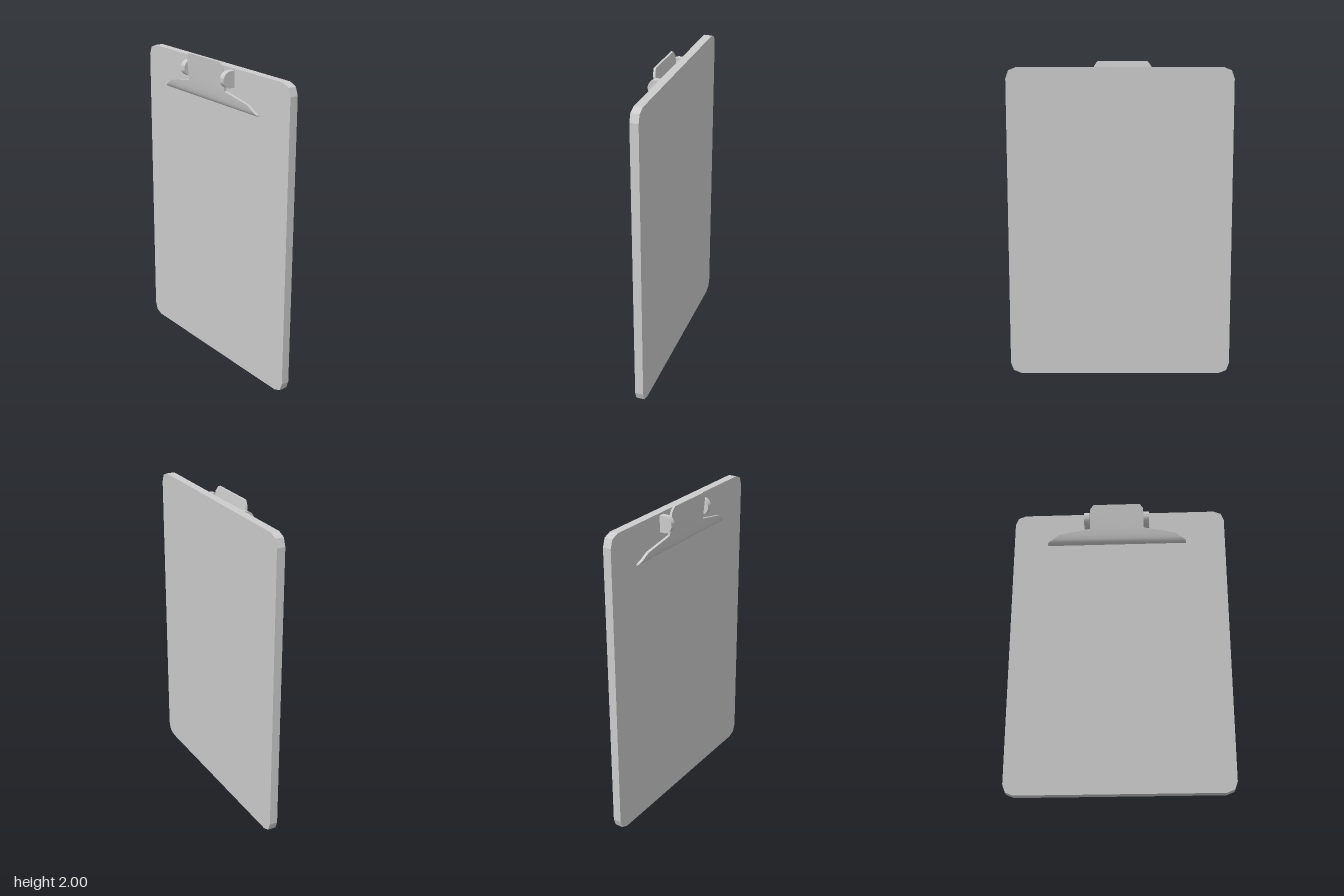
import * as THREE from 'three';
import { toCreasedNormals } from 'three/addons/utils/BufferGeometryUtils.js';

const material = new THREE.MeshStandardMaterial({ color: 0xcccccc });

// Rectangular board with two-facet corners
function boardGeometry(w, y0, y1, depth) {
  const outline = [];
  const h = (y1 - y0) / 2, cy = (y0 + y1) / 2;
  const corner = [[0, 0.07], [0.018, 0.02], [0.067, 0]]; // insets from the side and the end
  for (const [sx, sy] of [[1, 1], [-1, 1], [-1, -1], [1, -1]]) {
    const run = sx * sy > 0 ? corner : [...corner].reverse();
    for (const [dx, dy] of run) outline.push(new THREE.Vector2(sx * (w - dx), cy + sy * (h - dy)));
  }
  return new THREE.ExtrudeGeometry(new THREE.Shape(outline), { depth, bevelEnabled: false });
}

// Bent plate lofted through rows of [y, half width, front z, back z], from top to bottom
function plateGeometry(rows) {
  const pos = [];
  const quad = (a, b, c, d) => pos.push(...a, ...b, ...c, ...a, ...c, ...d);
  const ring = ([y, w, f, b]) => [[-w, y, f], [w, y, f], [w, y, b], [-w, y, b]];
  for (let i = 0; i < rows.length - 1; i++) {
    const t = ring(rows[i]), u = ring(rows[i + 1]);
    for (let k = 0; k < 4; k++) {
      const n = (k + 1) % 4;
      quad(t[k], u[k], u[n], t[n]);
    }
  }
  const top = ring(rows[0]), end = ring(rows[rows.length - 1]);
  quad(top[0], top[1], top[2], top[3]);
  quad(end[3], end[2], end[1], end[0]);
  const g = new THREE.BufferGeometry();
  g.setAttribute('position', new THREE.Float32BufferAttribute(pos, 3));
  return toCreasedNormals(g, 0.7);
}

// D-shaped hinge cheek: round in front, flat against the board
function cheekGeometry(radius, back, width) {
  const s = new THREE.Shape();
  s.moveTo(back, -radius);
  s.lineTo(0, -radius);
  s.absarc(0, 0, radius, -Math.PI / 2, Math.PI / 2, false);
  s.lineTo(back, radius);
  s.closePath();
  const g = new THREE.ExtrudeGeometry(s, { depth: width, bevelEnabled: false, curveSegments: 16 });
  g.translate(0, 0, -width / 2);
  g.rotateY(-Math.PI / 2); // profile x becomes +z
  return toCreasedNormals(g, 0.6);
}

export function createModel() {
  const model = new THREE.Group();
  model.name = 'clipboard';
  const add = (parent, name, geometry) => {
    const mesh = new THREE.Mesh(geometry, material);
    mesh.name = name;
    parent.add(mesh);
    return mesh;
  };

  // Backing board
  add(model, 'board', boardGeometry(0.707, 0, 1.965, 0.053)).position.z = -0.067;

  // Clip, set slightly off the centre line
  const clip = new THREE.Group();
  clip.name = 'clip';
  clip.position.x = -0.016;
  model.add(clip);

  // Thumb tab at the top, flaring into a wide jaw that curls towards the board
  add(clip, 'clipPlate', plateGeometry([
    [2.0, 0.155, 0.051, 0.037],
    [1.992, 0.163, 0.05, 0.036],
    [1.967, 0.18, 0.047, 0.032],
    [1.825, 0.181, 0.032, 0.015],
    [1.785, 0.39, 0.025, 0.007],
    [1.755, 0.43, 0.019, 0.0],
    [1.738, 0.46, 0.012, -0.006],
    [1.729, 0.463, 0.004, -0.011],
    [1.725, 0.463, -0.004, -0.014],
  ]));

  // Hinge cheeks on both sides of the tab
  for (const side of [-1, 1]) {
    const cheek = add(clip, side > 0 ? 'leftHingeCheek' : 'rightHingeCheek', cheekGeometry(0.051, -0.033, 0.037));
    cheek.position.set(side * 0.2, 1.9, 0.016);
  }
  return model;
}
